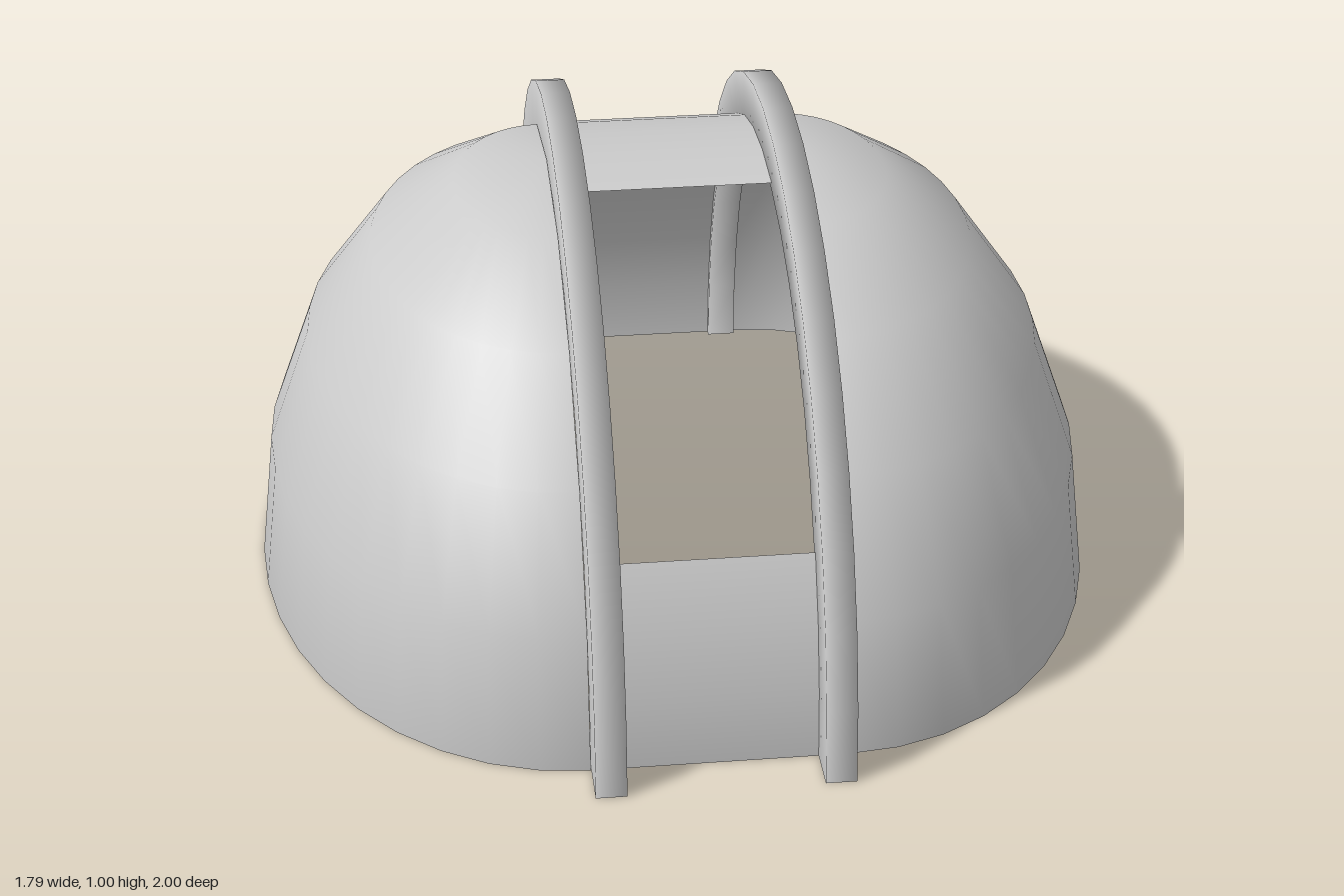
import * as THREE from 'three';

const SHELL = 0.906;                       // dome radius
const RAIL_IN = 0.89, RAIL_OUT = 1.0;      // rail radii
const RAIL_A = 0.195, RAIL_B = 0.257;      // rail sides in x
const STEP = Math.PI / 20;                 // facet angle of all arcs

export function createModel() {
  const group = new THREE.Group();
  const mat = new THREE.MeshStandardMaterial({ color: 0xcccccc, side: THREE.DoubleSide });

  const add = (geometry, name) => {
    const mesh = new THREE.Mesh(geometry, mat);
    mesh.name = name;
    group.add(mesh);
    return mesh;
  };

  // Sweep a [radius, x] profile around the x axis, from the front over the top
  const arch = (profile, from, to) => {
    const pts = profile.map(([r, x]) => new THREE.Vector2(r, -x));
    return new THREE.LatheGeometry(pts, to - from, from * STEP, (to - from) * STEP)
      .rotateZ(Math.PI / 2);
  };

  for (const [side, label] of [[1, 'left'], [-1, 'right']]) {
    // Quarter dome, stretched sideways from the rail
    const dome = new THREE.SphereGeometry(1, 20, 5, Math.PI / 2, Math.PI, 0, Math.PI / 2)
      .scale(0.636, SHELL, SHELL)
      .translate(0.258, 0, 0);
    if (side < 0) dome.rotateY(Math.PI);
    add(dome, label + 'DomeHalf');

    // Arched rail beside the slot
    const rail = [[RAIL_IN, RAIL_B], [RAIL_OUT, RAIL_B], [RAIL_OUT, RAIL_A], [RAIL_IN, RAIL_A], [RAIL_IN, RAIL_B]];
    add(arch(rail.map(([r, x]) => [r, x * side]), 0, 20), label + 'Rail');

    // Feet closing the rail ends
    for (const end of [1, -1]) {
      const foot = new THREE.PlaneGeometry(RAIL_B - RAIL_A, RAIL_OUT - RAIL_IN).rotateX(Math.PI / 2);
      foot.translate(side * (RAIL_A + RAIL_B) / 2, 0, end * (RAIL_IN + RAIL_OUT) / 2);
      add(foot, label + 'RailFoot');
    }
  }

  // Panels between the rails, leaving the slot open at the upper front
  const strip = [[SHELL, RAIL_A], [SHELL, -RAIL_A]];
  add(arch(strip, 0, 3), 'frontPanel');
  add(arch(strip, 9, 20), 'backPanel');

  return group;
}
